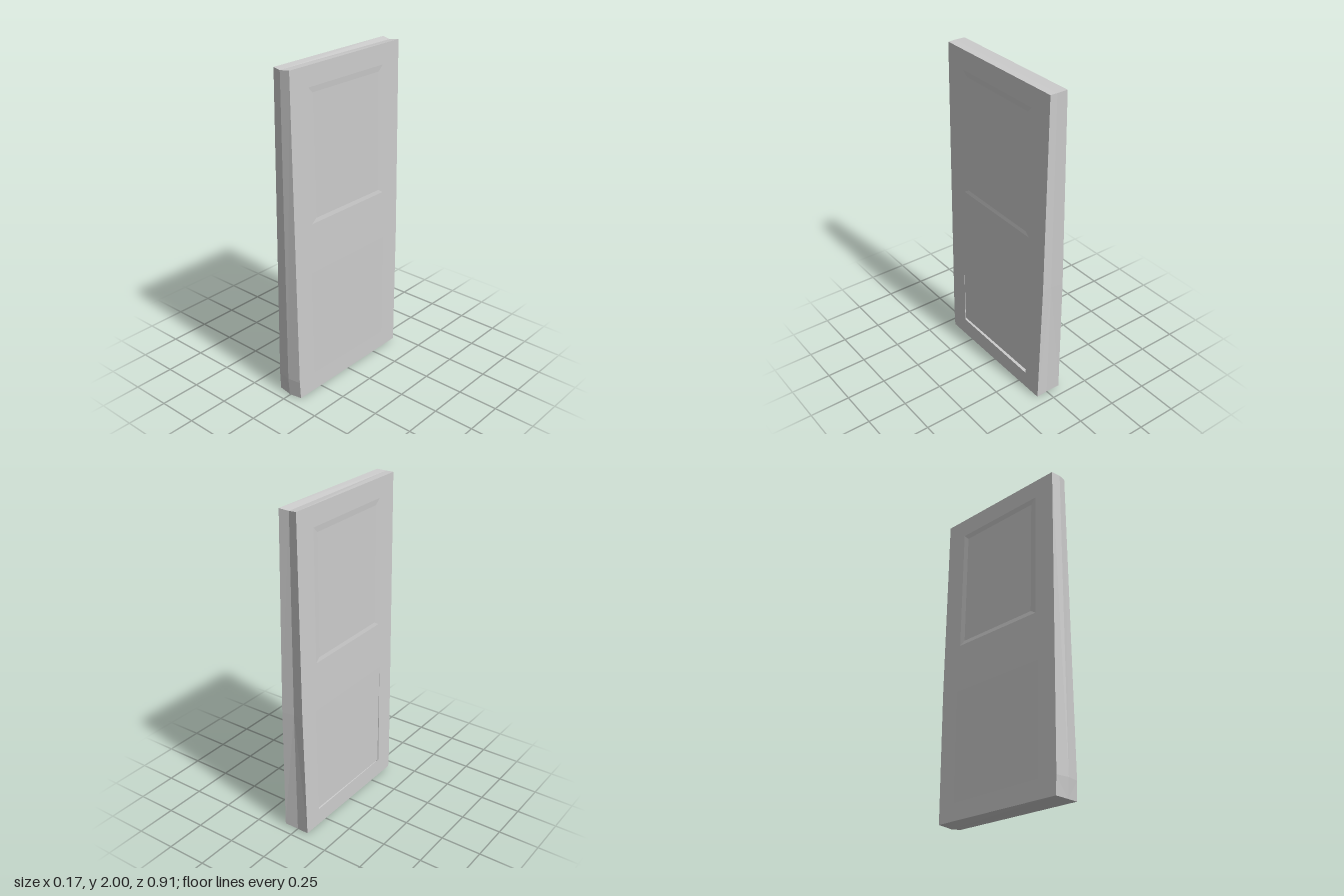
import * as THREE from 'three';

// Half thickness of the slab, tapering from base to top
const half = (y) => 0.083 - 0.0138 * y;

// Side outline as (u, y) with u = -z, and the matching points on the centre line
const outline = [[-0.437, 0.01], [0.445, 0.012], [0.456, 0.8], [0.451, 2], [-0.445, 2], [-0.443, 0.12]];
const centre = [[-0.447, 0.006], [0.432, 0], [0.441, 0.8], [0.438, 1.992], [-0.456, 1.996], [-0.456, 0.12]];

// Openings in the broad faces, corners in (u, y)
const lowerOpening = [[-0.317, 0.125], [0.325, 0.117], [0.33, 0.795], [-0.32, 0.8]];
const upperOpening = [[-0.265, 1.125], [0.283, 1.12], [0.277, 1.845], [-0.272, 1.848]];

// Shallow bevelled border around the upper opening
const upperBorder = [[-0.305, 1.1], [0.318, 1.096], [0.311, 1.88], [-0.308, 1.882]];
const borderDepth = 0.003;

function quad(out, a, b, c, d) {
  out.push(a, b, c, a, c, d);
}

// Turns a list of triangle corners into a mesh; side -1 mirrors it in x
function meshFrom(points, side, material, name) {
  const data = [];
  for (let i = 0; i < points.length; i += 3) {
    const tri = [points[i], points[i + 1], points[i + 2]];
    if (side < 0) tri.reverse();
    for (const [x, y, z] of tri) data.push(x * side, y, z);
  }
  const geo = new THREE.BufferGeometry();
  geo.setAttribute('position', new THREE.Float32BufferAttribute(data, 3));
  geo.computeVertexNormals();
  const mesh = new THREE.Mesh(geo, material);
  mesh.name = name;
  return mesh;
}

export function createModel() {
  const group = new THREE.Group();
  group.name = 'panelledSlab';
  const grey = new THREE.MeshStandardMaterial({ color: 0xcccccc, side: THREE.DoubleSide });
  grey.name = 'lightGrey';

  const rim = ([u, y]) => [half(y), y, -u];
  const mid = ([u, y]) => [0, y, -u];

  // Broad face, cut for the lower opening and the upper border
  const shape = new THREE.Shape(outline.map((p) => new THREE.Vector2(...p)));
  for (const hole of [lowerOpening, upperBorder]) {
    shape.holes.push(new THREE.Path(hole.map((p) => new THREE.Vector2(...p))));
  }
  const flat = new THREE.ShapeGeometry(shape).toNonIndexed().getAttribute('position');
  const face = [];
  for (let i = 0; i < flat.count; i++) face.push(rim([flat.getX(i), flat.getY(i)]));

  // Folded edges: ridge in front, groove at the back, dished top, keeled base
  const edges = [];
  outline.forEach((p, i) => {
    const j = (i + 1) % outline.length;
    quad(edges, rim(p), mid(centre[i]), mid(centre[j]), rim(outline[j]));
  });

  // Border sloping in to the upper opening
  const border = [];
  const inner = upperOpening.map(([u, y]) => [half(y) - borderDepth, y, -u]);
  upperBorder.forEach((p, i) => {
    const j = (i + 1) % upperBorder.length;
    quad(border, rim(p), rim(upperBorder[j]), inner[j], inner[i]);
  });

  for (const side of [1, -1]) {
    const label = side > 0 ? 'left' : 'right';
    group.add(meshFrom(face, side, grey, label + 'Face'));
    group.add(meshFrom(edges, side, grey, label + 'Edges'));
    group.add(meshFrom(border, side, grey, label + 'UpperBorder'));
  }

  // Core sheet inside the hollow slab, seen through the openings
  const core = new THREE.Mesh(new THREE.PlaneGeometry(0.86, 1.94), grey);
  core.name = 'coreSheet';
  core.rotation.y = Math.PI / 2;
  core.position.y = 1;
  group.add(core);
  return group;
}
